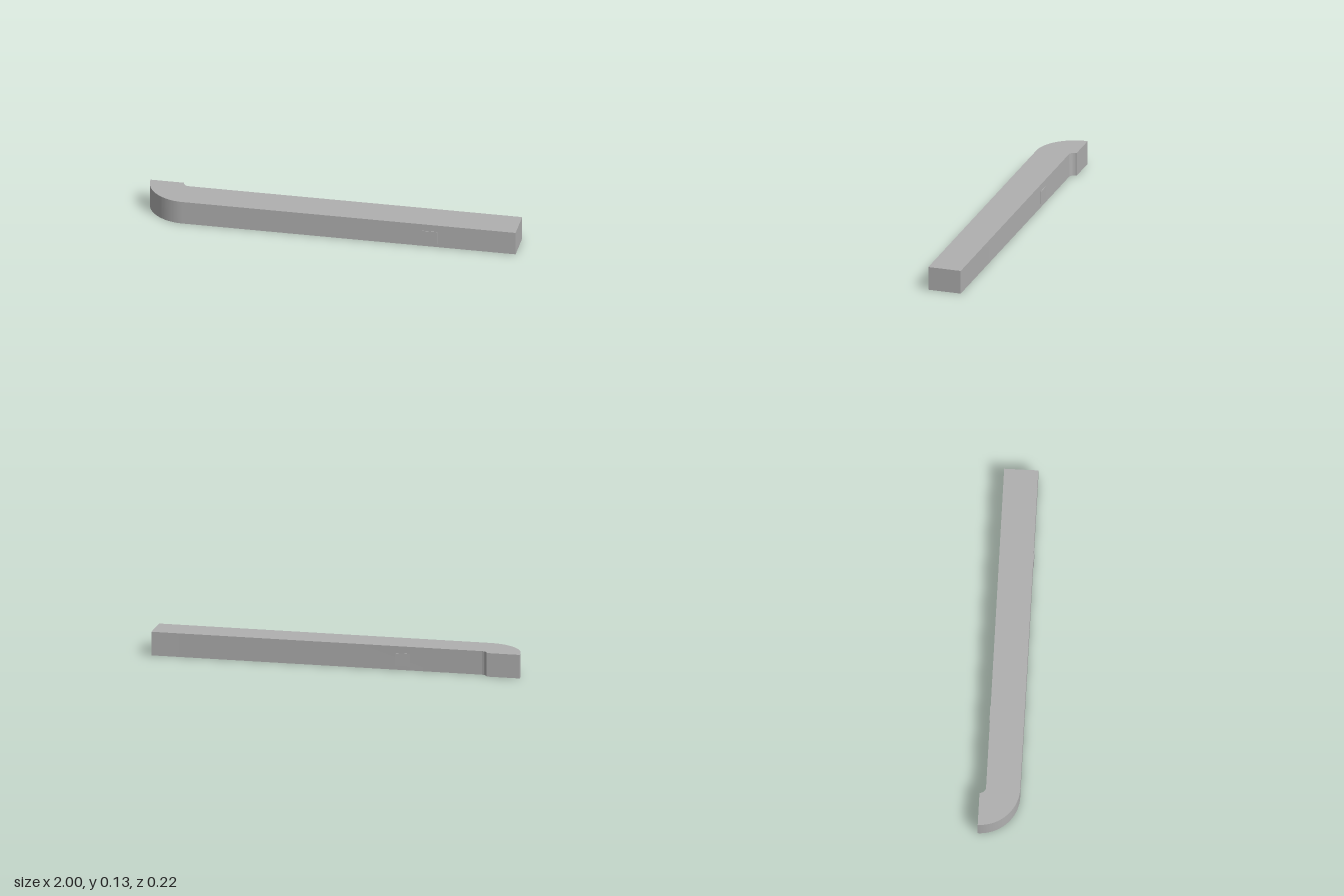
import * as THREE from 'three';
import { toCreasedNormals } from 'three/addons/utils/BufferGeometryUtils.js';

export function createModel() {
  const model = new THREE.Group();
  model.name = 'curvedEndBar';
  const grey = new THREE.MeshStandardMaterial({ color: 0xb0b0b0 });
  grey.name = 'plain grey';

  const height = 0.128, front = 0.105, back = -0.075, tip = -0.108;

  // Plan outline, drawn with shape y = -z
  const plan = new THREE.Shape();
  plan.moveTo(1, -front);
  plan.lineTo(1, -back);
  plan.lineTo(-0.787, -back);
  plan.absarc(-0.787, -tip, 0.033, -Math.PI / 2, -Math.PI, true); // inner fillet
  plan.lineTo(-1, -tip);
  plan.absarc(-0.787, -tip, 0.213, Math.PI, Math.PI * 1.5, false); // rounded outer corner
  plan.closePath();

  // Long body with the hooked end
  const geometry = new THREE.ExtrudeGeometry(plan, { depth: height, bevelEnabled: false, curveSegments: 24 });
  geometry.rotateX(-Math.PI / 2);
  const body = new THREE.Mesh(toCreasedNormals(geometry, 0.5), grey);
  body.name = 'body';
  model.add(body);

  // Thin raised panels on the two long faces
  const addPanel = (name, x, z) => {
    const panel = new THREE.Mesh(new THREE.BoxGeometry(0.08, 0.07, 0.005), grey);
    panel.name = name;
    panel.position.set(x, 0.055, z);
    model.add(panel);
  };
  addPanel('frontPanel', 0.54, front + 0.0005);
  addPanel('backPanel', -0.36, back - 0.0005);

  return model;
}
